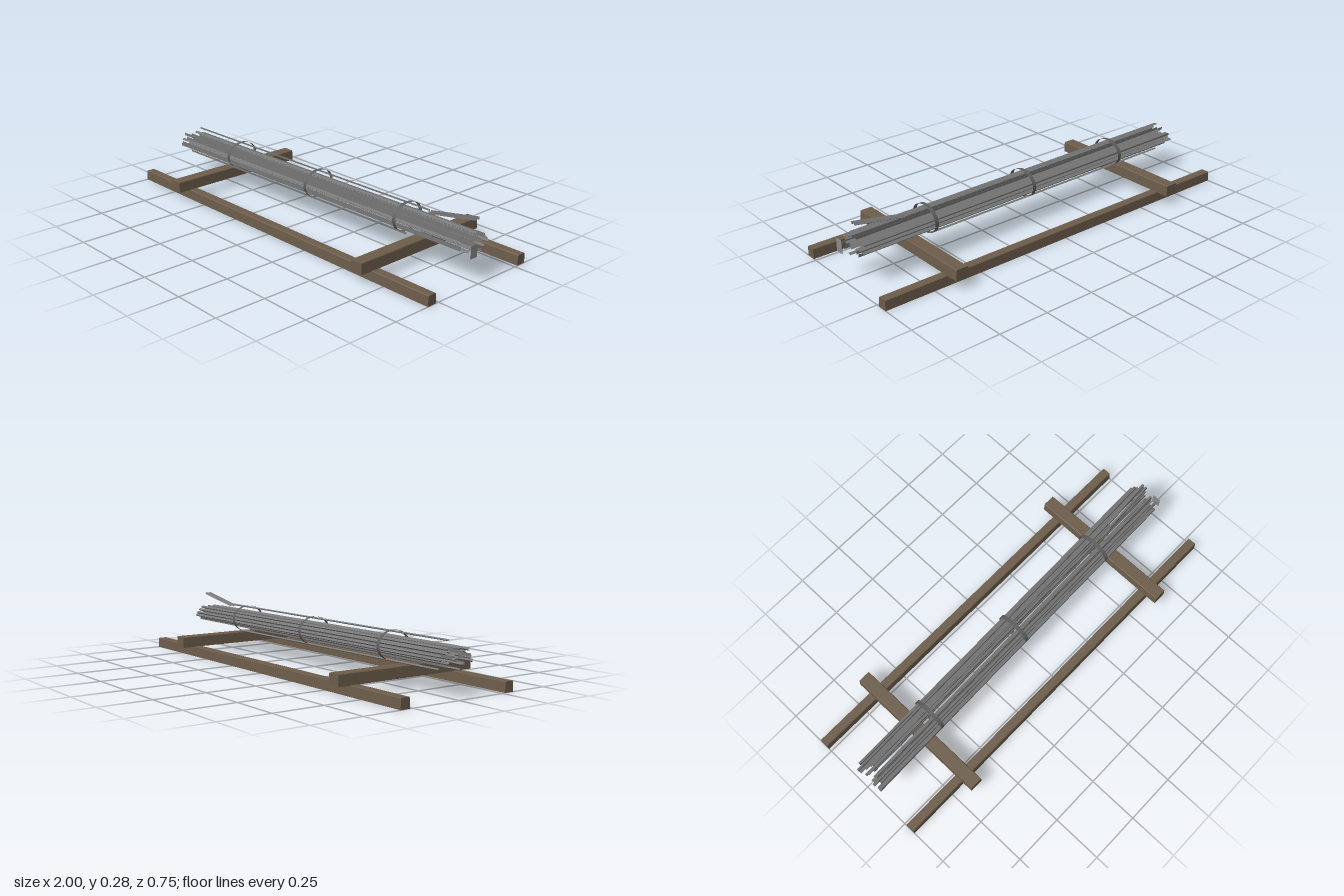
import * as THREE from 'three';

const mat = (name, color) => Object.assign(new THREE.MeshStandardMaterial({ color }), { name });

export function createModel() {
  const root = new THREE.Group();
  root.name = 'rodBundleOnSkids';
  const wood = mat('weathered wood', 0x6c5c4a);
  const steel = mat('steel', 0x767676);
  const strapSteel = mat('strap steel', 0x5e5e5e);
  strapSteel.side = THREE.DoubleSide;
  const tagGrey = mat('tag grey', 0x8a8a8a);

  const add = (name, geometry, material, parent = root) => {
    const mesh = new THREE.Mesh(geometry, material);
    mesh.name = name;
    parent.add(mesh);
    return mesh;
  };

  // Timber running along z: tapered sides and chamfered top edges
  const timber = (length, bottom, top, height) => {
    const c = 0.003;
    const shape = new THREE.Shape([
      [-bottom / 2, 0], [bottom / 2, 0], [top / 2, height - c], [top / 2 - c, height],
      [c - top / 2, height], [-top / 2, height - c],
    ].map(([x, y]) => new THREE.Vector2(x, y)));
    return new THREE.ExtrudeGeometry(shape, { depth: length, bevelEnabled: false }).translate(0, 0, -length / 2);
  };
  for (const side of [-1, 1]) {
    add('runner', timber(2, 0.049, 0.044, 0.049).rotateY(Math.PI / 2), wood).position.z = side * 0.29;
    add('crossBeam', timber(0.75, 0.068, 0.062, 0.053), wood).position.set(side * 0.648, 0.048, 0);
  }

  // Three-sided, open-ended rod between two points
  const bundle = new THREE.Group();
  bundle.name = 'rodBundle';
  root.add(bundle);
  const up = new THREE.Vector3(0, 1, 0);
  const rod = (name, a, b, radius, turn = Math.PI) => {
    const dir = b.clone().sub(a);
    const g = new THREE.CylinderGeometry(radius, radius, dir.length(), 3, 1, true, turn).toNonIndexed();
    g.computeVertexNormals();
    const mesh = add(name, g, steel, bundle);
    mesh.position.copy(a).add(b).multiplyScalar(0.5);
    mesh.quaternion.setFromUnitVectors(up, dir.normalize());
  };
  const V = (x, y, z) => new THREE.Vector3(x, y, z);

  // Layers of the bundle: height, then the z of each rod at mid-length
  const layers = [
    [0.204, [0.052, 0.03, -0.012, -0.03]],
    [0.191, [0.062, 0.027, -0.014, -0.06]],
    [0.178, [0.07, 0.028, -0.016, -0.05, -0.072]],
    [0.165, [0.076, 0.06, 0.012, -0.016, -0.062, -0.08]],
    [0.153, [0.072, 0.03, -0.018, -0.066]],
    [0.141, [0.056, 0.03, -0.014, -0.05]],
  ];
  let n = 0;
  for (const [y, zs] of layers) {
    for (const z of zs) {
      const shift = ((n * 7) % 11 - 5) * 0.005;
      const slant = 0.013 + (n % 4) * 0.002;
      const turn = n % 3 === 2 ? 0 : Math.PI;
      rod('rod', V(-0.962 + shift, y, z + slant), V(0.962 + shift, y + (n % 3 - 1) * 0.003, z - slant), 0.008, turn);
      n++;
    }
  }
  // Loose outer rods
  rod('topRod', V(-0.93, 0.239, 0.004), V(0.7, 0.239, -0.022), 0.005);
  rod('bottomRod', V(-0.95, 0.115, 0.05), V(0.61, 0.115, 0.026), 0.006);
  rod('bottomRod', V(-0.9, 0.115, -0.024), V(0.58, 0.115, -0.048), 0.006);
  rod('bentRod', V(0.7, 0.23, -0.015), V(0.96, 0.278, -0.017), 0.008);
  rod('bentRod', V(0.7, 0.23, -0.032), V(0.96, 0.278, -0.037), 0.008);

  // Thin oval binding straps, following the drift of the bundle
  for (const x of [-0.575, 0, 0.575]) {
    const g = new THREE.CylinderGeometry(1, 1, 0.02, 24, 1, true).rotateZ(Math.PI / 2).scale(1, 0.067, 0.087);
    add('strap', g, strapSteel).position.set(x, 0.177, -0.003 - x * 0.015);
  }

  // Plate tag on the end of the bundle
  add('tag', new THREE.BoxGeometry(0.003, 0.062, 0.041), tagGrey).position.set(0.995, 0.159, 0.035);
  return root;
}
